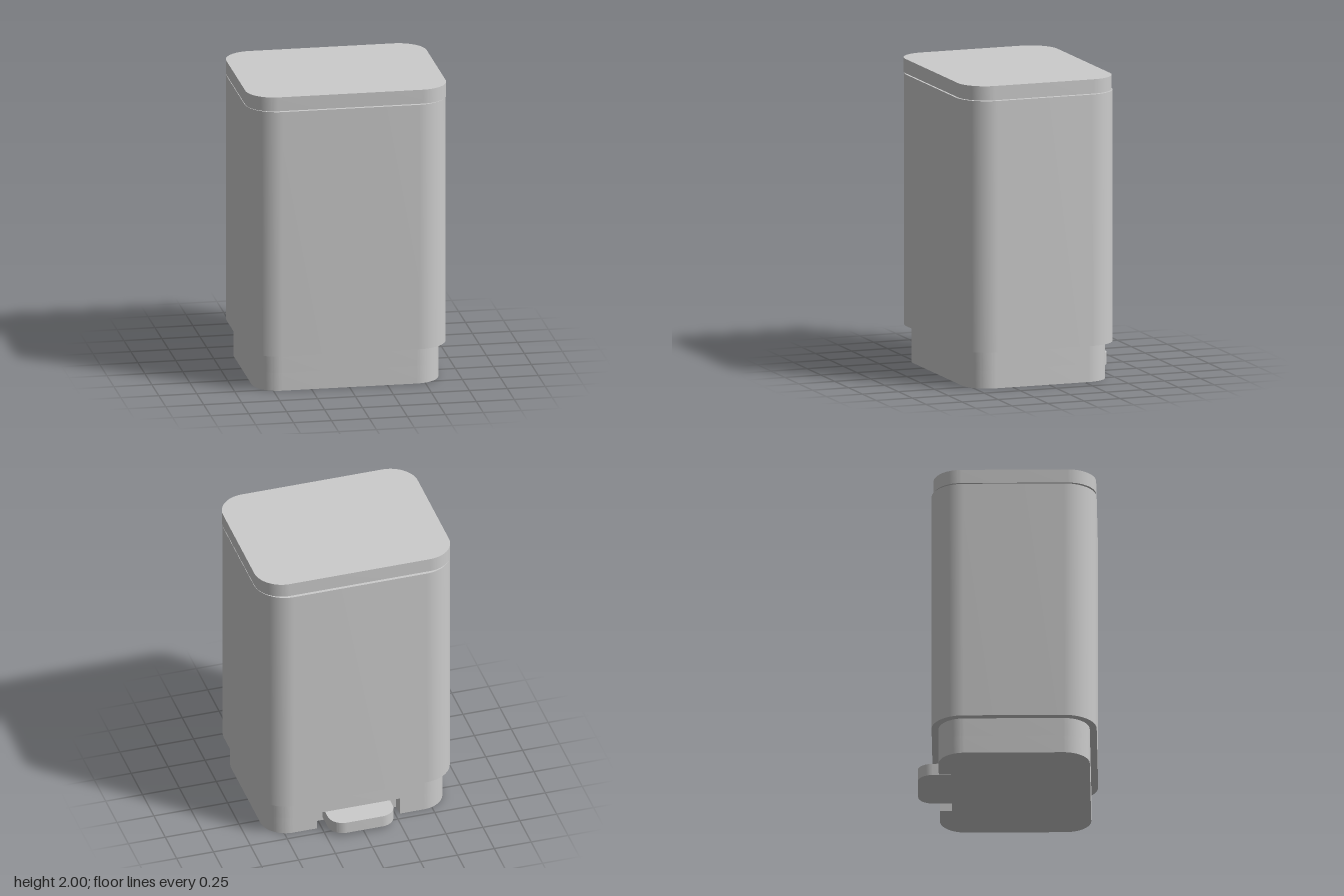
import * as THREE from 'three';
import { toCreasedNormals } from 'three/addons/utils/BufferGeometryUtils.js';

const material = new THREE.MeshStandardMaterial({ color: 0xcccccc });

// Rounded plan outline; a shape's y is -z, so the back edge is at the top.
// An optional notch is cut into the back edge.
function outline(halfWidth, back, front, rBack, rFront, notch) {
  const w = halfWidth, t = -back, b = -front, s = new THREE.Shape();
  s.moveTo(-w + rFront, b);
  s.lineTo(w - rFront, b);
  if (rFront) s.absarc(w - rFront, b + rFront, rFront, -Math.PI / 2, 0);
  s.lineTo(w, t - rBack);
  s.absarc(w - rBack, t - rBack, rBack, 0, Math.PI / 2);
  if (notch) {
    s.lineTo(notch.halfWidth, t);
    s.lineTo(notch.halfWidth, t - notch.depth);
    s.lineTo(-notch.halfWidth, t - notch.depth);
    s.lineTo(-notch.halfWidth, t);
  }
  s.lineTo(-w + rBack, t);
  s.absarc(-w + rBack, t - rBack, rBack, Math.PI / 2, Math.PI);
  s.lineTo(-w, b + rFront);
  if (rFront) s.absarc(-w + rFront, b + rFront, rFront, Math.PI, Math.PI * 1.5);
  s.closePath();
  return s;
}

// Vertical prism with smooth corners and sharp rims
function slab(name, shape, y0, y1) {
  const geo = new THREE.ExtrudeGeometry(shape, { depth: y1 - y0, bevelEnabled: false, curveSegments: 16 });
  geo.rotateX(-Math.PI / 2).translate(0, y0, 0);
  const mesh = new THREE.Mesh(toCreasedNormals(geo, 0.6), material);
  mesh.name = name;
  return mesh;
}

export function createModel() {
  const bin = new THREE.Group();
  bin.name = 'pedalBin';

  // Recessed plinth, notched at the back around the pedal
  const base = new THREE.Group();
  base.name = 'base';
  const notch = { halfWidth: 0.28, depth: 0.08 };
  base.add(
    slab('baseLower', outline(0.613, -0.445, 0.535, 0.17, 0.17, notch), 0, 0.12),
    slab('baseUpper', outline(0.613, -0.445, 0.535, 0.17, 0.17), 0.12, 0.245)
  );

  bin.add(
    base,
    slab('body', outline(0.66, -0.49, 0.58, 0.21, 0.21), 0.245, 1.9),
    // Thin neck closing the gap under the lid
    slab('lidSeal', outline(0.62, -0.44, 0.54, 0.18, 0.18), 1.9, 1.906),
    slab('lid', outline(0.66, -0.477, 0.577, 0.185, 0.185), 1.906, 2),
    slab('pedal', outline(0.22, -0.583, -0.365, 0.1, 0), 0.025, 0.105)
  );
  return bin;
}
